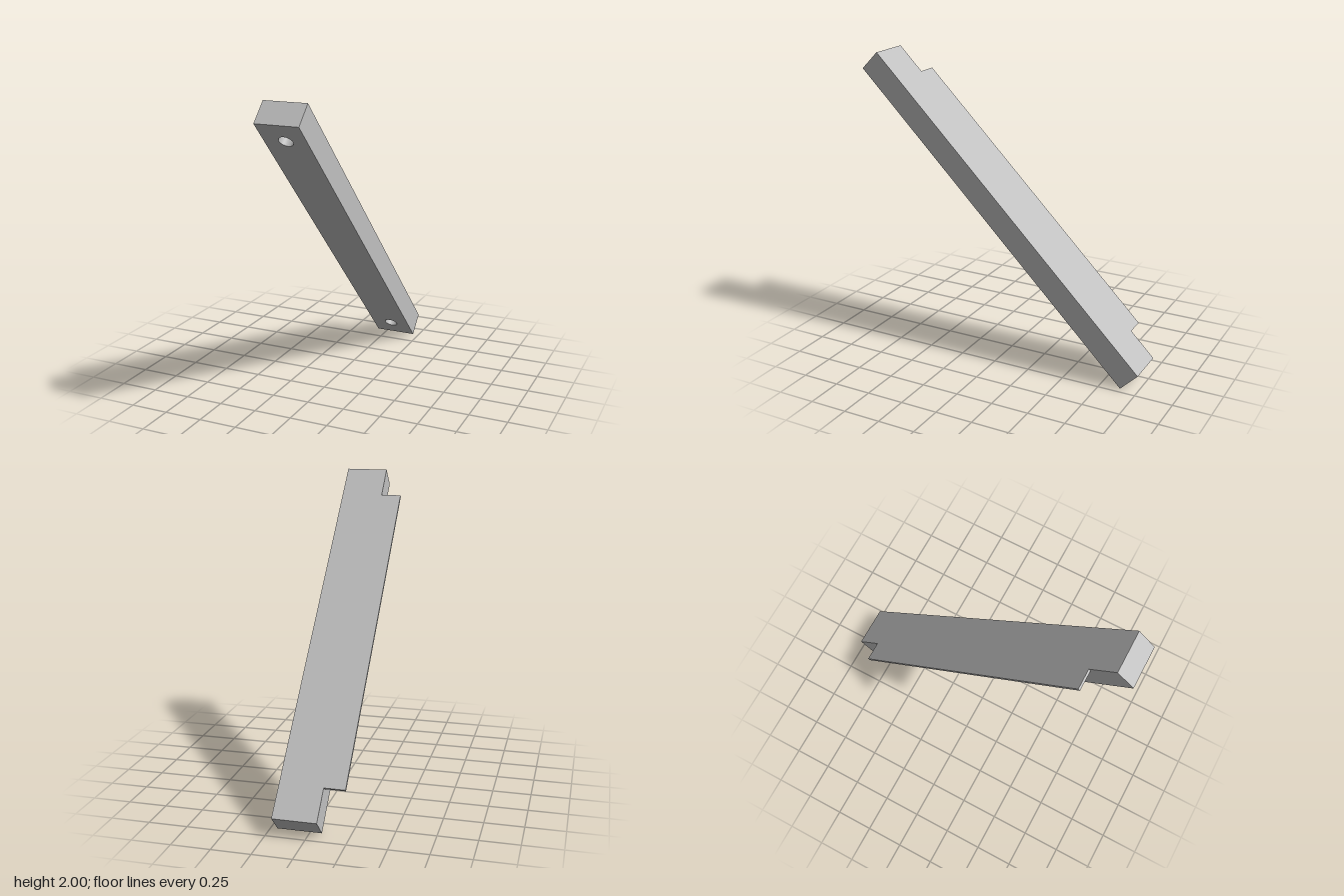
import * as THREE from 'three';

export function createModel() {
  const grey = new THREE.MeshStandardMaterial({ color: 0xc0c0c0 });
  grey.name = 'plain grey';

  const half = 1.333;        // half the bar's length
  const flangeHalf = 1.107;  // half the flange's length
  const left = 0.208, inner = -0.073, right = -0.208;
  const back = -0.0813, front = 0.0813, skin = 0.018;

  const outline = (points) => new THREE.Shape(points.map(([x, y]) => new THREE.Vector2(x, y)));

  const slab = (name, shape, z0, z1) => {
    const geometry = new THREE.ExtrudeGeometry(shape, {
      depth: z1 - z0, bevelEnabled: false, curveSegments: 24,
    });
    geometry.translate(0, 0, z0);
    const mesh = new THREE.Mesh(geometry, grey);
    mesh.name = name;
    return mesh;
  };

  // Thick bar with a screw hole near each end
  const barShape = outline([[inner, -half], [left, -half], [left, half], [inner, half]]);
  for (const side of [-1, 1]) {
    const hole = new THREE.Path();
    hole.absarc((inner + left) / 2 + 0.004, side * 1.178, 0.045, 0, Math.PI * 2, true);
    barShape.holes.push(hole);
  }

  // Thin cover closing the holes, widened into a flange along one edge
  const coverShape = outline([
    [inner, -half], [left, -half], [left, half], [inner, half],
    [inner, flangeHalf], [right, flangeHalf], [right, -flangeHalf], [inner, -flangeHalf],
  ]);

  // The whole bar leans forward at 45 degrees
  const strip = new THREE.Group();
  strip.name = 'leaningBar';
  strip.add(slab('bar', barShape, back + skin, front));
  strip.add(slab('coverWithFlange', coverShape, back, back + skin));
  strip.rotation.x = Math.PI / 4;
  strip.position.y = 1;

  const model = new THREE.Group();
  model.name = 'flangedBar';
  model.add(strip);
  return model;
}
